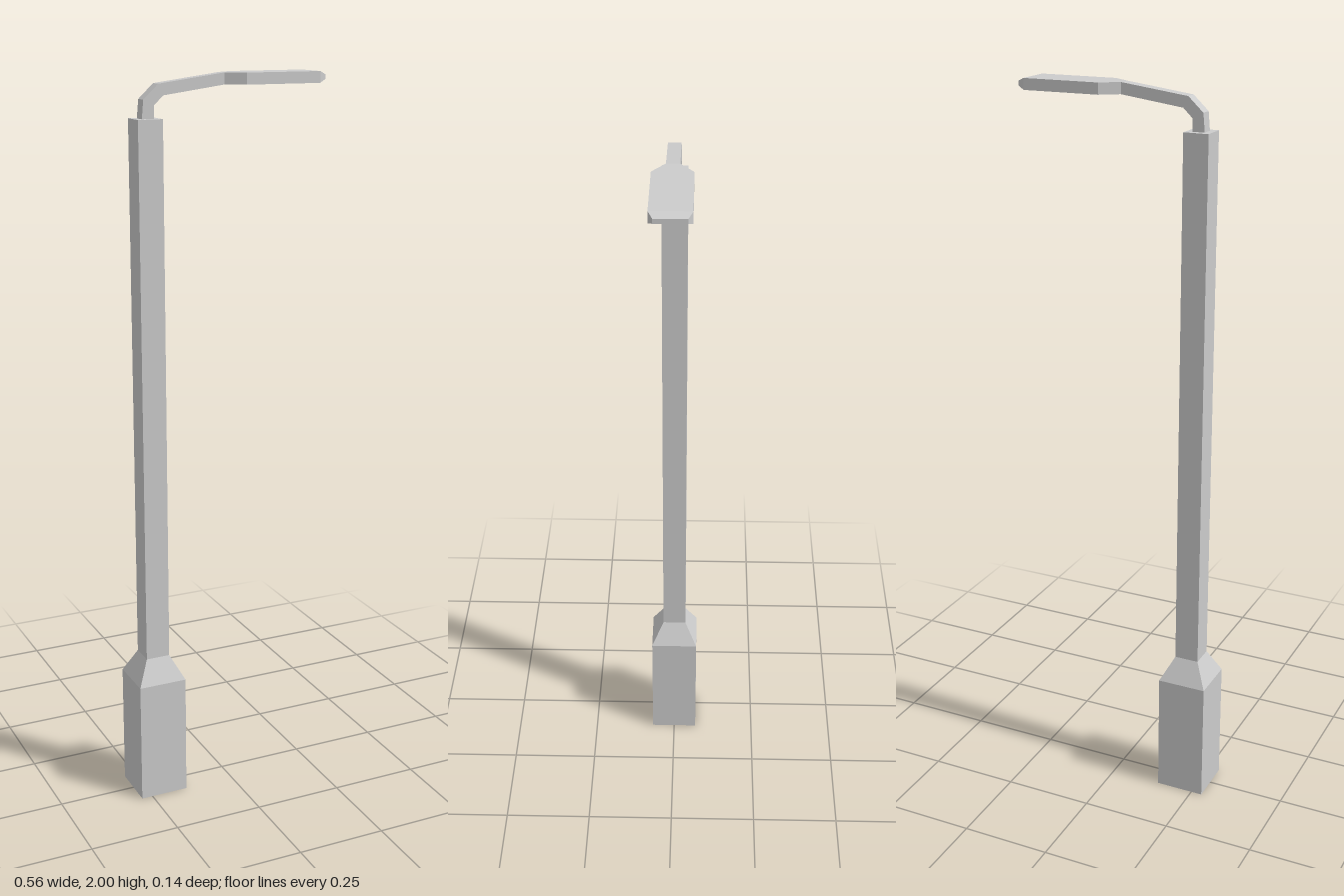
import * as THREE from 'three';

const material = new THREE.MeshStandardMaterial({ color: 0xcccccc, flatShading: true });

// Skin a list of four-cornered rings (counter-clockwise along the travel) and cap both ends
function loft(name, rings) {
  const pos = [];
  const quad = (a, b, c, d) => pos.push(...a, ...b, ...c, ...a, ...c, ...d);
  for (let r = 0; r < rings.length - 1; r++) {
    const a = rings[r], b = rings[r + 1];
    for (let i = 0; i < 4; i++) {
      const j = (i + 1) % 4;
      quad(a[i], a[j], b[j], b[i]);
    }
  }
  quad(...[...rings[0]].reverse());
  quad(...rings[rings.length - 1]);
  const geometry = new THREE.BufferGeometry();
  geometry.setAttribute('position', new THREE.Float32BufferAttribute(pos, 3));
  geometry.computeVertexNormals();
  const mesh = new THREE.Mesh(geometry, material);
  mesh.name = name;
  return mesh;
}

// Horizontal square ring around the post axis
const POST_X = -0.213;
const level = ([y, h]) => [
  [POST_X + h, y, h], [POST_X + h, y, -h], [POST_X - h, y, -h], [POST_X - h, y, h],
];

// Upright ring from an upper and a lower profile point and a half width
const section = ([topX, topY, lowX, lowY, h]) => [
  [topX, topY, -h], [topX, topY, h], [lowX, lowY, h], [lowX, lowY, -h],
];

export function createModel() {
  const group = new THREE.Group();
  group.name = 'streetLamp';

  // Wide base tapering into the tall square shaft
  group.add(loft('post', [[0, 0.0685], [0.345, 0.0685], [0.413, 0.034], [1.89, 0.034]].map(level)));

  // Arm bending from the post top out to the lamp
  group.add(loft('arm', [
    [-0.23, 1.885, -0.197, 1.885, 0.017],
    [-0.225, 1.938, -0.196, 1.923, 0.017],
    [-0.184, 1.976, -0.171, 1.947, 0.017],
    [0, 2, 0, 1.97, 0.017],
  ].map(section)));

  // Flat lamp head flaring from the arm, with a bevelled tip
  group.add(loft('lampHead', [
    [0, 2, 0, 1.97, 0.017],
    [0.047, 2, 0.047, 1.97, 0.051],
    [0.26, 2, 0.26, 1.97, 0.051],
    [0.281, 1.991, 0.281, 1.979, 0.04],
  ].map(section)));

  return group;
}
